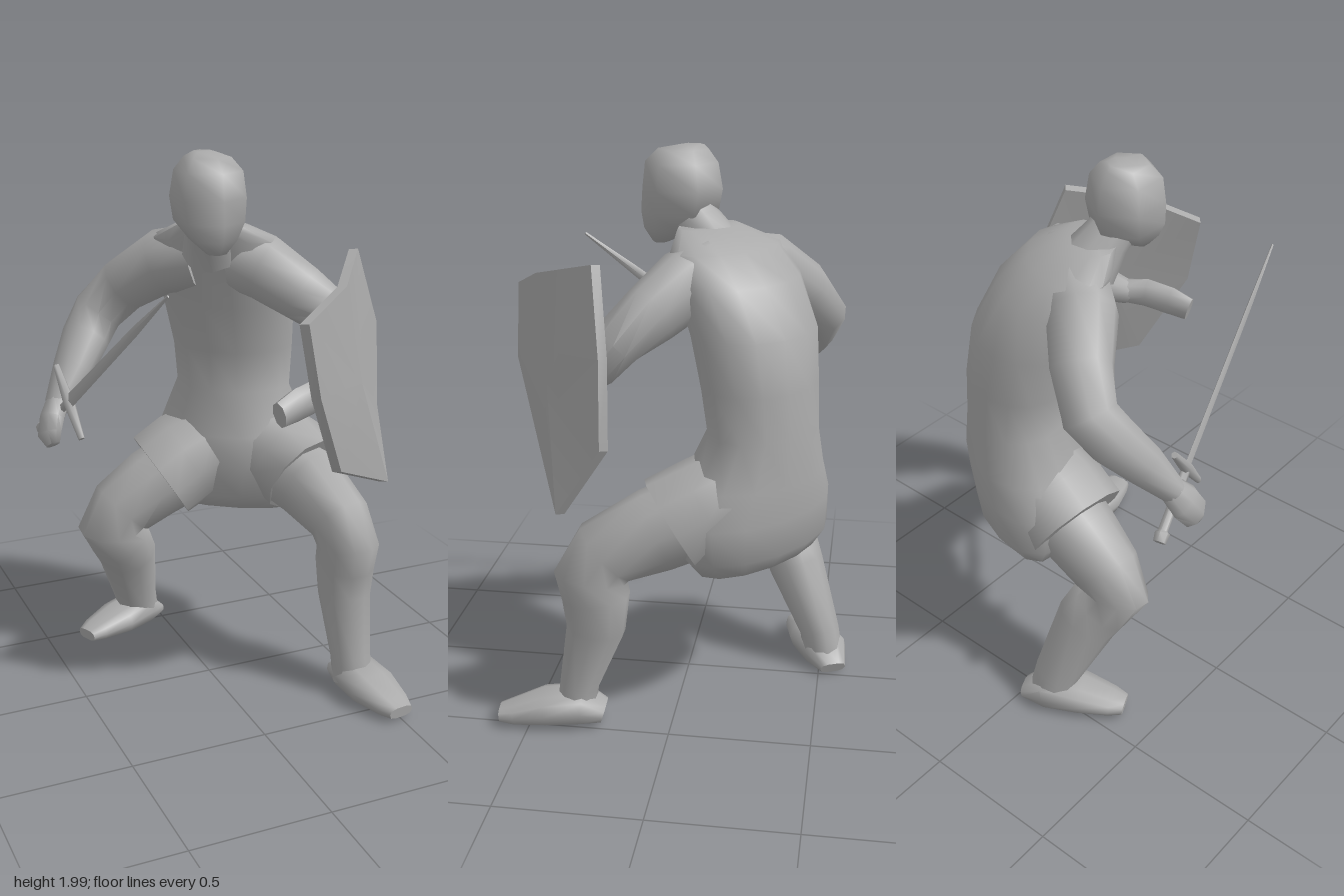
import * as THREE from 'three';
import { toCreasedNormals } from 'three/addons/utils/BufferGeometryUtils.js';

const V = (x, y, z) => new THREE.Vector3(x, y, z);

// Closed skin through rings [x, y, z, a, b]; a is the half size along ref, b across it.
// When axis is given all rings share it, otherwise they follow the path.
function loft(rings, { ref = V(1, 0, 0), axis = null, sides = 10, power = 1, crease = 1.1 } = {}) {
  const c = rings.map((r) => V(r[0], r[1], r[2]));
  const pos = [], index = [], n = rings.length;
  rings.forEach(([, , , a, b = a], i) => {
    const t = axis ? axis.clone() : V(0, 0, 0);
    if (!axis) {
      if (i > 0) t.add(c[i].clone().sub(c[i - 1]).normalize());
      if (i < n - 1) t.add(c[i + 1].clone().sub(c[i]).normalize());
    }
    t.normalize();
    const u = ref.clone().addScaledVector(t, -ref.dot(t)).normalize();
    const v = t.clone().cross(u);
    for (let j = 0; j < sides; j++) {
      const w = (j / sides) * Math.PI * 2, co = Math.cos(w), si = Math.sin(w);
      const p = c[i].clone()
        .addScaledVector(u, a * Math.sign(co) * Math.abs(co) ** power)
        .addScaledVector(v, b * Math.sign(si) * Math.abs(si) ** power);
      pos.push(p.x, p.y, p.z);
    }
  });
  pos.push(...c[0].toArray(), ...c[n - 1].toArray());
  for (let j = 0; j < sides; j++) {
    const k = (j + 1) % sides, last = (n - 1) * sides;
    for (let i = 0; i < n - 1; i++) {
      const p = i * sides, q = p + sides;
      index.push(p + j, p + k, q + j, p + k, q + k, q + j);
    }
    index.push(n * sides, k, j, n * sides + 1, last + j, last + k);
  }
  const g = new THREE.BufferGeometry();
  g.setAttribute('position', new THREE.Float32BufferAttribute(pos, 3));
  g.setIndex(index);
  return toCreasedNormals(g, crease);
}

// Thick plate: outline fanned round a raised centre, pushed back by a vector
function plate(outline, centre, back) {
  const pos = [], n = outline.length;
  const f = outline.map((p) => V(...p)), b = f.map((p) => p.clone().add(back));
  const fc = V(...centre), bc = fc.clone().add(back);
  const tri = (...ps) => ps.forEach((p) => pos.push(p.x, p.y, p.z));
  for (let i = 0; i < n; i++) {
    const k = (i + 1) % n;
    tri(fc, f[i], f[k]);
    tri(bc, b[k], b[i]);
    tri(f[i], b[i], b[k]);
    tri(f[i], b[k], f[k]);
  }
  const g = new THREE.BufferGeometry();
  g.setAttribute('position', new THREE.Float32BufferAttribute(pos, 3));
  return toCreasedNormals(g, 0.4);
}

export function createModel() {
  const model = new THREE.Group();
  const grey = new THREE.MeshStandardMaterial({ color: 0xaaaaaa });
  grey.name = 'grey';
  const add = (name, geometry) => {
    const m = new THREE.Mesh(geometry, grey);
    m.name = name;
    model.add(m);
  };
  const up = V(0, 1, 0), side = V(0.81, 0, 0.586), zAxis = V(0, 0, 1);

  // Body, turned towards its right and leaning forward
  add('torso', loft([
    [0.21, 0.605, -0.28, 0.29, 0.125],
    [0.215, 0.67, -0.27, 0.335, 0.18],
    [0.22, 0.8, -0.26, 0.345, 0.2],
    [0.22, 0.92, -0.265, 0.29, 0.205],
    [0.225, 1.08, -0.29, 0.22, 0.17],
    [0.215, 1.24, -0.275, 0.23, 0.18],
    [0.185, 1.42, -0.25, 0.25, 0.19],
    [0.135, 1.58, -0.19, 0.255, 0.175],
    [0.085, 1.675, -0.14, 0.235, 0.135],
    [0.045, 1.735, -0.075, 0.13, 0.08],
  ], { ref: side, axis: up, sides: 14 }));
  add('neck', loft([[0.05, 1.64, -0.1, 0.11], [0.015, 1.73, -0.04, 0.085], [-0.01, 1.8, 0.02, 0.075]]));
  add('head', loft([
    [-0.015, 1.665, 0.1, 0.03, 0.035],
    [-0.015, 1.71, 0.07, 0.09, 0.082],
    [-0.015, 1.77, 0.035, 0.135, 0.122],
    [-0.015, 1.85, 0.025, 0.14, 0.132],
    [-0.015, 1.94, 0.028, 0.127, 0.118],
    [-0.015, 1.985, 0.022, 0.088, 0.08],
    [-0.015, 2.0, -0.01, 0.04, 0.035],
  ], { ref: zAxis, axis: up, sides: 6, crease: 1.5 }));

  // Short skirt sleeves round the tops of the thighs
  add('leftHem', loft([[0.3, 0.87, -0.2, 0.17], [0.36, 0.82, -0.09, 0.175], [0.39, 0.765, 0.0, 0.16, 0.187]]));
  add('rightHem', loft([[0.15, 0.85, -0.28, 0.17], [0.03, 0.79, -0.3, 0.19, 0.185], [-0.07, 0.725, -0.31, 0.195, 0.18]], { ref: zAxis }));

  // Legs
  add('leftLeg', loft([
    [0.34, 0.8, -0.1, 0.15], [0.39, 0.745, 0.06, 0.13, 0.15], [0.425, 0.665, 0.23, 0.11, 0.13],
    [0.435, 0.58, 0.28, 0.11, 0.13], [0.435, 0.5, 0.262, 0.105, 0.12],
    [0.435, 0.38, 0.265, 0.095, 0.105], [0.435, 0.15, 0.33, 0.077, 0.07], [0.44, 0.06, 0.34, 0.077, 0.07],
  ]));
  add('rightLeg', loft([
    [0.05, 0.77, -0.3, 0.15], [-0.1, 0.69, -0.32, 0.135, 0.145], [-0.225, 0.605, -0.33, 0.115, 0.135],
    [-0.275, 0.53, -0.335, 0.11, 0.125], [-0.225, 0.46, -0.36, 0.11, 0.12],
    [-0.185, 0.38, -0.395, 0.105, 0.115], [-0.118, 0.14, -0.495, 0.075, 0.085], [-0.1, 0.06, -0.51, 0.075, 0.08],
  ], { ref: zAxis }));
  add('leftFoot', loft([
    [0.445, 0.055, 0.24, 0.06, 0.03], [0.45, 0.08, 0.32, 0.088, 0.06],
    [0.465, 0.07, 0.45, 0.095, 0.052], [0.487, 0.05, 0.56, 0.07, 0.033], [0.493, 0.045, 0.61, 0.05, 0.022],
  ], { power: 0.7 }));
  add('rightFoot', loft([
    [-0.01, 0.035, -0.555, 0.05, 0.022], [-0.09, 0.068, -0.52, 0.085, 0.06],
    [-0.21, 0.065, -0.46, 0.088, 0.05], [-0.32, 0.055, -0.415, 0.065, 0.032], [-0.365, 0.05, -0.395, 0.045, 0.022],
  ], { ref: V(0.42, 0, 0.9), power: 0.7 }));

  // Arms and hands
  add('rightArm', loft([
    [0.03, 1.6, -0.18, 0.12], [-0.075, 1.575, -0.265, 0.12], [-0.175, 1.475, -0.385, 0.105],
    [-0.262, 1.365, -0.45, 0.097], [-0.325, 1.28, -0.415, 0.09], [-0.4, 1.18, -0.35, 0.075], [-0.485, 1.07, -0.29, 0.045],
  ], { ref: V(-0.6, 0.8, 0) }));
  add('rightHand', loft([
    [-0.47, 1.09, -0.3, 0.045], [-0.51, 1.03, -0.27, 0.065, 0.045], [-0.53, 0.98, -0.24, 0.06, 0.04], [-0.525, 0.945, -0.215, 0.03, 0.025],
  ], { ref: V(0.2, 0.6, 0.7), sides: 8 }));
  add('leftArm', loft([
    [0.16, 1.6, -0.1, 0.12], [0.23, 1.57, -0.02, 0.12], [0.33, 1.49, 0.08, 0.105],
    [0.415, 1.41, 0.18, 0.088], [0.39, 1.33, 0.25, 0.08], [0.335, 1.265, 0.33, 0.065], [0.27, 1.225, 0.395, 0.045],
  ], { ref: V(0.7, 0, 0.7) }));
  add('leftHand', loft([
    [0.29, 1.235, 0.38, 0.045], [0.21, 1.23, 0.43, 0.06, 0.04], [0.12, 1.215, 0.46, 0.06, 0.038], [0.045, 1.195, 0.482, 0.048, 0.032],
  ], { ref: up, sides: 8 }));

  // Shield on the left forearm
  add('shield', plate([
    [0.09, 1.525, 0.59], [0.14, 1.27, 0.59], [0.285, 0.96, 0.48], [0.54, 0.845, 0.37],
    [0.575, 1.09, 0.21], [0.56, 1.395, 0.21], [0.45, 1.675, 0.25], [0.285, 1.605, 0.475],
  ], [0.385, 1.25, 0.425], V(-0.022, -0.005, -0.025)));

  // Sword in the right hand: flat tapering blade, crossguard and grip
  const across = V(-0.03, 0.23, -0.18).normalize();
  add('swordBlade', loft([
    [-0.465, 1.105, -0.2, 0.026, 0.01], [-0.37, 1.468, 0.25, 0.018, 0.009], [-0.328, 1.622, 0.442, 0.005, 0.004],
  ], { ref: across, sides: 4 }));
  add('swordGuard', loft([
    [-0.45, 0.99, -0.11, 0.012], [-0.465, 1.105, -0.2, 0.022], [-0.48, 1.22, -0.29, 0.012],
  ], { sides: 6 }));
  add('swordGrip', loft([
    [-0.465, 1.105, -0.2, 0.017], [-0.505, 0.97, -0.375, 0.017], [-0.508, 0.965, -0.38, 0.026], [-0.515, 0.945, -0.405, 0.022],
  ], { ref: across, sides: 6 }));

  return model;
}
